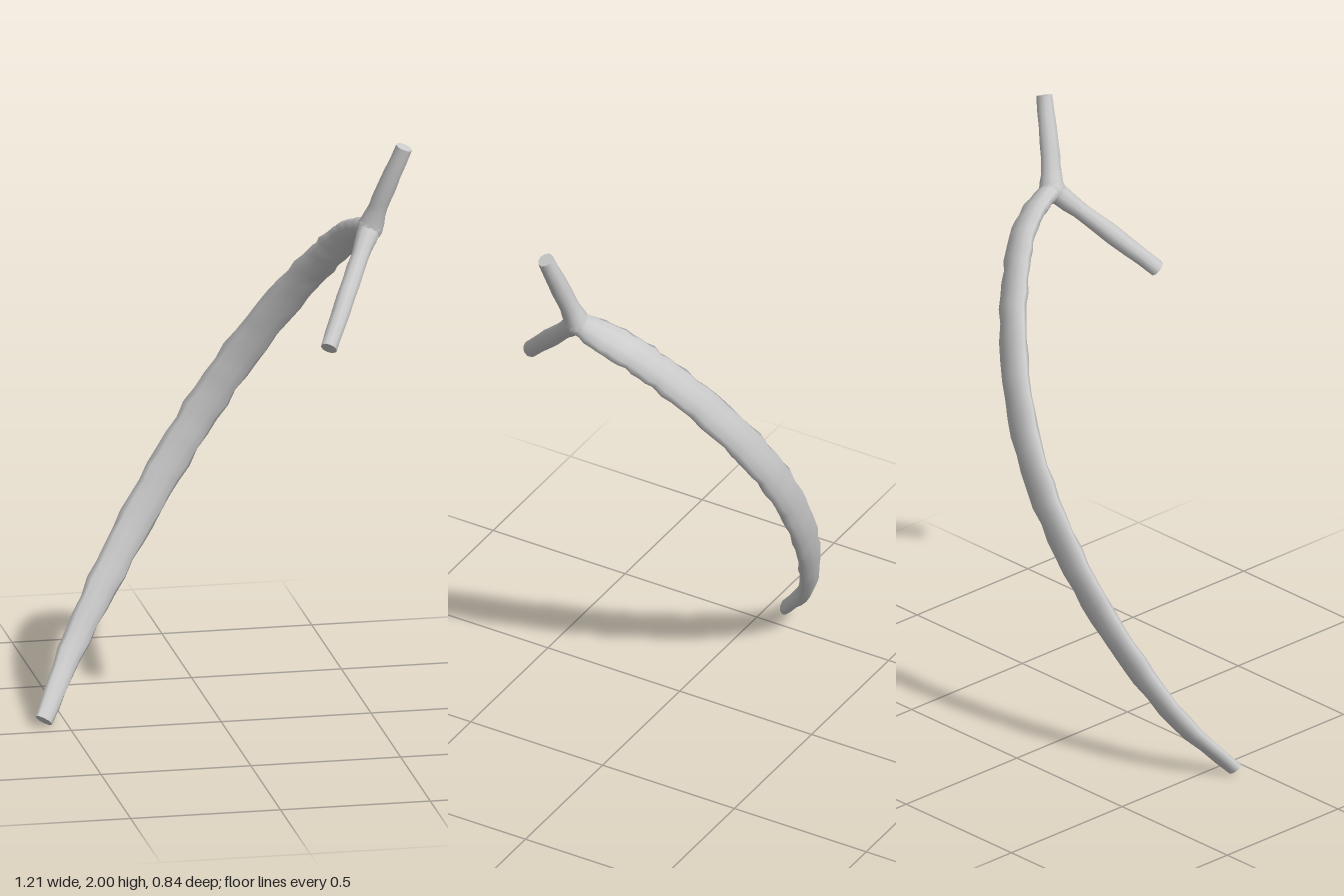
import * as THREE from 'three';

const material = new THREE.MeshStandardMaterial({ color: 0xcccccc });
const vec = (a) => new THREE.Vector3(...a);
const SIDES = 10;

// Linear lookup of t (0..1) in a short list of values
function sample(list, t) {
  const f = t * (list.length - 1);
  const i = Math.min(Math.floor(f), list.length - 2);
  return THREE.MathUtils.lerp(list[i], list[i + 1], f - i);
}

// Sweeps an oval section along a curve; `side` is the direction of the wide radius
function limb(name, points, side, wide, thin, steps, bump) {
  const curve = new THREE.CatmullRomCurve3(points.map(vec));
  const pos = [], index = [];
  for (let i = 0; i <= steps; i++) {
    const t = i / steps;
    const centre = curve.getPoint(t);
    const tangent = curve.getTangent(t);
    const b = side.clone().addScaledVector(tangent, -side.dot(tangent)).normalize();
    const n = new THREE.Vector3().crossVectors(tangent, b);
    for (let j = 0; j < SIDES; j++) {
      const a = (j / SIDES) * Math.PI * 2;
      // Gentle irregular bark swelling
      const k = 1 + bump * (Math.sin(i * 1.7 + 2 * a) + Math.sin(i * 2.9 - a));
      const p = centre.clone()
        .addScaledVector(b, Math.cos(a) * sample(wide, t) * k)
        .addScaledVector(n, Math.sin(a) * sample(thin, t) * k);
      pos.push(p.x, p.y, p.z);
      if (i < steps) {
        const j2 = (j + 1) % SIDES, r = i * SIDES, s = r + SIDES;
        index.push(r + j, r + j2, s + j2, r + j, s + j2, s + j);
      }
    }
  }
  // Flat cut ends with their own vertices for a crisp rim
  for (const end of [0, 1]) {
    const first = pos.length / 3, ring = end * steps * SIDES;
    for (let j = 0; j < SIDES; j++) pos.push(...pos.slice((ring + j) * 3, (ring + j) * 3 + 3));
    for (let j = 1; j < SIDES - 1; j++) {
      index.push(first, first + (end ? j : j + 1), first + (end ? j + 1 : j));
    }
  }
  const geometry = new THREE.BufferGeometry();
  geometry.setAttribute('position', new THREE.Float32BufferAttribute(pos, 3));
  geometry.setIndex(index);
  geometry.computeVertexNormals();
  const mesh = new THREE.Mesh(geometry, material);
  mesh.name = name;
  return mesh;
}

export function createModel() {
  const group = new THREE.Group();
  group.name = 'forkedBranch';
  const fork = [0.475, 1.7, 0.11];
  const across = new THREE.Vector3(0.853, -0.522, 0);

  // Bowed main branch, lying in one slanted plane: [height, depth] pairs
  const bow = [[0.02, -0.065], [0.2, -0.205], [0.4, -0.295], [0.6, -0.355], [0.8, -0.384],
    [1.0, -0.382], [1.2, -0.335], [1.4, -0.24], [1.53, -0.145], [1.61, -0.07], [1.662, 0.015]];
  const path = bow.map(([y, z]) => [-0.592 + 0.632 * y, y, z]);
  group.add(limb('mainBranch', [...path, fork], across,
    [0.031, 0.044, 0.055, 0.061, 0.063, 0.064, 0.064, 0.062, 0.06, 0.06, 0.058, 0.04],
    [0.019, 0.026, 0.029, 0.029, 0.03, 0.031, 0.031, 0.032, 0.033, 0.033, 0.033, 0.034], 44, 0.045));

  // Two twigs leaving the fork
  group.add(limb('upperTwig', [fork, [0.507, 1.8, 0.134], [0.577, 1.986, 0.172]], across,
    [0.044, 0.032, 0.032, 0.028], [0.044, 0.034, 0.033, 0.026], 8, 0.02));
  group.add(limb('lowerTwig', [fork, [0.4, 1.58, 0.22], [0.28, 1.384, 0.4]], across,
    [0.04, 0.03, 0.032, 0.028], [0.04, 0.029, 0.032, 0.028], 9, 0.025));

  // Rounded swelling where the limbs merge
  const knot = new THREE.Mesh(new THREE.SphereGeometry(0.044, 12, 8), material);
  knot.name = 'forkKnot';
  knot.position.set(...fork);
  group.add(knot);
  return group;
}
